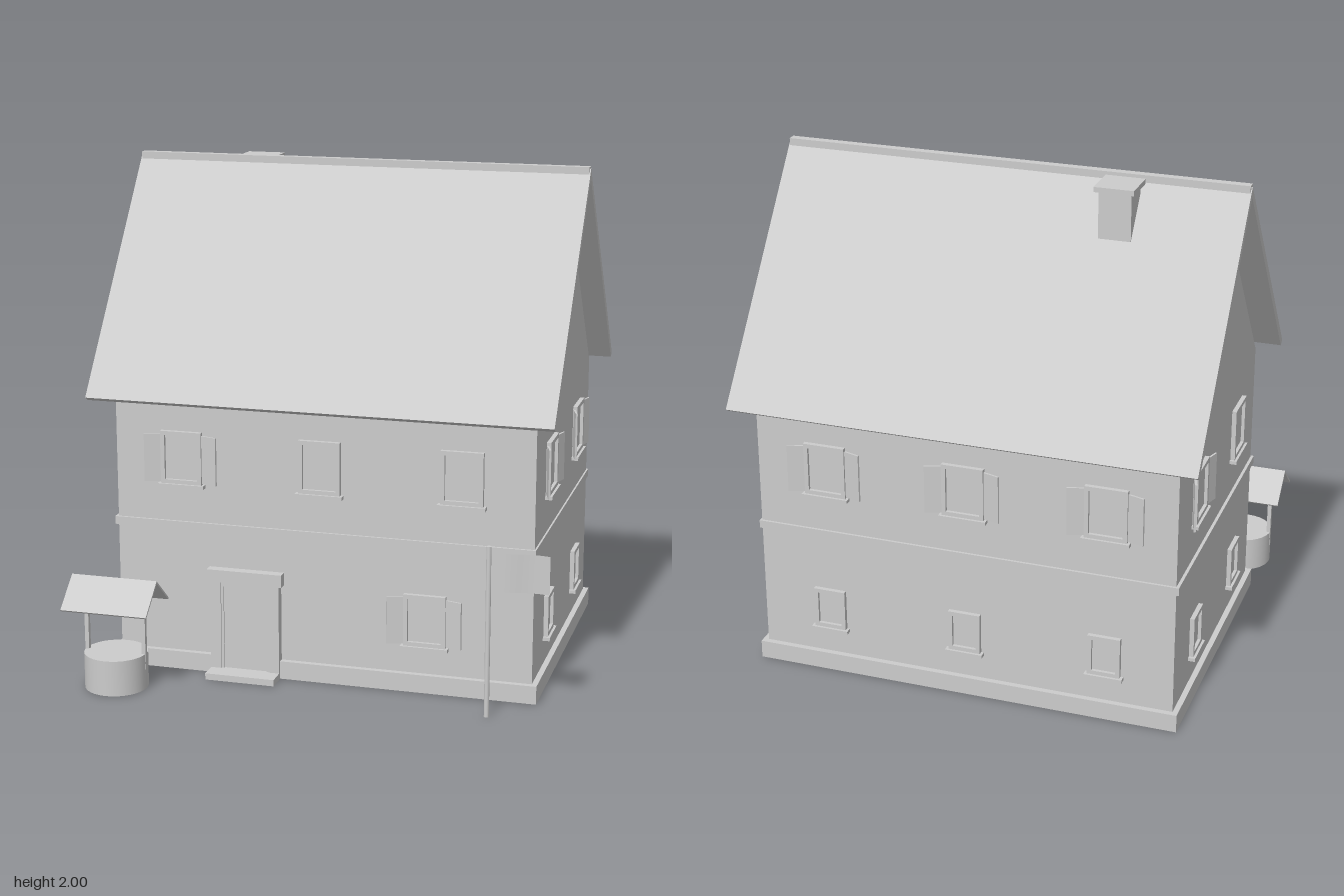
import * as THREE from 'three';

export function createModel() {
  const house = new THREE.Group();
  house.name = 'house';
  const plaster = new THREE.MeshStandardMaterial({ color: 0xcccccc });
  plaster.name = 'paleGrey';
  const cloth = plaster.clone();
  cloth.name = 'paleGreyCloth';
  cloth.side = THREE.DoubleSide;

  const add = (parent, name, geometry, material = plaster) => {
    const mesh = new THREE.Mesh(geometry, material);
    mesh.name = name;
    parent.add(mesh);
    return mesh;
  };
  // Box given by its minimum and maximum on each axis
  const box = (parent, name, x0, x1, y0, y1, z0, z1) => {
    const mesh = add(parent, name, new THREE.BoxGeometry(x1 - x0, y1 - y0, z1 - z0));
    mesh.position.set((x0 + x1) / 2, (y0 + y1) / 2, (z0 + z1) / 2);
    return mesh;
  };
  // Profile of [z, y] points extruded along x from x0 to x1
  const alongX = (parent, name, points, x0, x1) => {
    const shape = new THREE.Shape(points.map(([z, y]) => new THREE.Vector2(-z, y)));
    const geometry = new THREE.ExtrudeGeometry(shape, { depth: x1 - x0, bevelEnabled: false });
    geometry.rotateY(Math.PI / 2).translate(x0, 0, 0);
    return add(parent, name, geometry);
  };

  // Walls, plinth and the belt between the floors
  const RIDGE = -0.143;
  box(house, 'walls', -0.843, 0.843, 0, 1.105, -0.735, 0.445);
  box(house, 'plinth', -0.865, 0.865, 0, 0.073, -0.758, 0.468);
  box(house, 'belt', -0.855, 0.85, 0.583, 0.615, -0.745, 0.455);

  // Gable ends
  const gable = [[0.445, 1.105], [-0.735, 1.105], [RIDGE, 1.865]];
  alongX(house, 'gable', gable, -0.843, -0.813);
  alongX(house, 'gable', gable, 0.813, 0.843);

  // Roof: a folded slab with a ridge cap
  alongX(house, 'roof', [
    [0.542, 1.117], [RIDGE, 1.993], [-0.828, 1.117],
    [-0.804, 1.102], [RIDGE, 1.952], [0.518, 1.102],
  ], -0.932, 0.925);
  box(house, 'ridgeCap', -0.928, 0.921, 1.97, 2.0, RIDGE - 0.017, RIDGE + 0.017);

  // Chimney
  box(house, 'chimney', -0.517, -0.39, 1.105, 1.97, -0.306, -0.186);
  box(house, 'chimneyCap', -0.531, -0.376, 1.97, 1.99, -0.324, -0.17);

  // Window on a wall: origin at bottom centre, facing its own +z
  function makeWindow(w, h, shutters) {
    const g = new THREE.Group();
    g.name = 'window';
    const bar = 0.017, depth = 0.018;
    box(g, 'pane', -w / 2, w / 2, 0, h, -0.002, 0.005);
    for (const s of [-1, 1]) {
      const x = s * (w - bar) / 2;
      box(g, 'frameSide', x - bar / 2, x + bar / 2, 0, h, 0, depth);
    }
    for (const y of [0, h - bar]) {
      box(g, 'frameBar', -w / 2 + bar, w / 2 - bar, y, y + bar, 0, depth);
    }
    box(g, 'sill', -w / 2 - 0.011, w / 2 + 0.011, -0.013, 0.001, 0, 0.028);
    if (shutters) {
      for (const s of [-1, 1]) {
        const hinge = new THREE.Group();
        hinge.name = 'shutter';
        hinge.position.set(s * w / 2, 0, 0.006);
        hinge.rotation.y = -s * 0.3;
        box(hinge, 'shutterPanel', Math.min(0, s * 0.068), Math.max(0, s * 0.068),
          0.006, h - 0.013, -0.004, 0.004);
        g.add(hinge);
      }
    }
    return g;
  }
  const TALL = [0.168, 0.213, 0.77], SMALL = [0.13, 0.168, 0.187], LOW = [0.168, 0.21, 0.187];

  // Walls: turn angle, and a function from distance along the world axis to position
  const sides = {
    front: [0, t => [t, 0.445]],
    back: [Math.PI, t => [t, -0.735]],
    left: [Math.PI / 2, t => [0.843, t]],
    right: [-Math.PI / 2, t => [-0.843, t]],
  };
  const place = (side, t, [w, h, y], shutters = false) => {
    const [turn, at] = sides[side];
    const g = makeWindow(w, h, shutters);
    const [x, z] = at(t);
    g.position.set(x, y, z);
    g.rotation.y = turn;
    house.add(g);
  };
  for (const x of [-0.57, -0.005, 0.56]) {
    place('front', x, TALL, x < -0.5);
    place('back', x, TALL, true);
    place('back', x, SMALL);
  }
  place('front', 0.418, LOW, true);
  for (const z of [0.153, -0.442]) {
    place('left', z, TALL, true);
    place('right', z, TALL, z < 0);
    place('left', z, SMALL);
    place('right', z, SMALL);
  }

  // Door with posts, lintel, inner frame and step
  const door = new THREE.Group();
  door.name = 'door';
  house.add(door);
  const DX = -0.308;
  box(door, 'doorPanel', DX - 0.1, DX + 0.1, 0.02, 0.38, 0.44, 0.47);
  for (const s of [-1, 1]) {
    const p = DX + s * 0.12, f = DX + s * 0.094;
    box(door, 'doorPost', p - 0.022, p + 0.022, 0, 0.385, 0.44, 0.482);
    box(door, 'doorFrameSide', f - 0.006, f + 0.006, 0.02, 0.38, 0.44, 0.476);
  }
  box(door, 'doorFrameTop', DX - 0.1, DX + 0.1, 0.368, 0.385, 0.44, 0.476);
  box(door, 'lintel', DX - 0.154, DX + 0.154, 0.385, 0.436, 0.44, 0.485);
  box(door, 'doorStep', DX - 0.142, DX + 0.142, 0, 0.026, 0.44, 0.556);

  // Well with a little roof
  const well = new THREE.Group();
  well.name = 'well';
  well.position.set(-0.766, 0, 0.703);
  house.add(well);
  add(well, 'wellWall', new THREE.CylinderGeometry(0.125, 0.125, 0.143, 32)).position.y = 0.0715;
  for (const s of [-1, 1]) {
    box(well, 'wellPost', s * 0.118 - 0.008, s * 0.118 + 0.008, 0.08, 0.328, -0.009, 0.009);
  }
  const beam = add(well, 'wellBeam', new THREE.CylinderGeometry(0.008, 0.008, 0.27, 12));
  beam.rotation.z = Math.PI / 2;
  beam.position.y = 0.328;
  alongX(well, 'wellRoof', [
    [0.127, 0.337], [0, 0.445], [-0.127, 0.337], [-0.122, 0.331], [0, 0.435], [0.122, 0.331],
  ], -0.176, 0.176);

  // Flagpole with a gently waving flag
  const pole = add(house, 'flagpole', new THREE.CylinderGeometry(0.01, 0.01, 0.677, 16));
  pole.position.set(0.706, 0.3385, 0.637);
  const flagGeometry = new THREE.PlaneGeometry(0.23, 0.15, 16, 1);
  const p = flagGeometry.attributes.position;
  for (let i = 0; i < p.count; i++) {
    p.setZ(i, 0.008 * Math.sin((p.getX(i) / 0.23 + 0.5) * Math.PI * 2));
  }
  flagGeometry.computeVertexNormals();
  add(house, 'flag', flagGeometry, cloth).position.set(0.823, 0.58, 0.637);

  return house;
}
